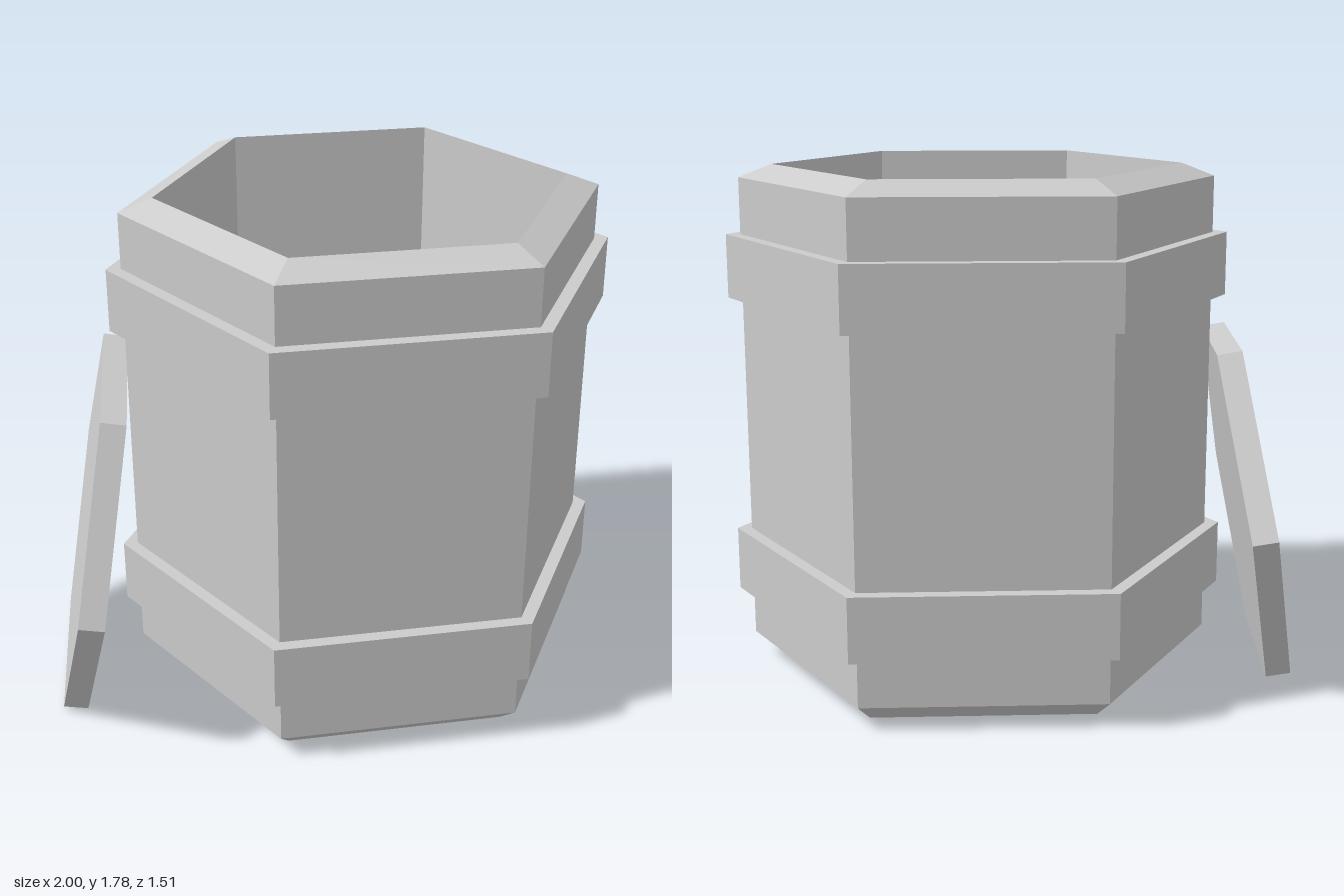
import * as THREE from 'three';

const material = new THREE.MeshStandardMaterial({ color: 0xcccccc, flatShading: true });

// Six-sided turned part with corners on the x axis; profile is [radius, y] pairs
function hexLathe(name, profile) {
  const points = profile.map(([r, y]) => new THREE.Vector2(r, y));
  const mesh = new THREE.Mesh(new THREE.LatheGeometry(points, 6, Math.PI / 2), material);
  mesh.name = name;
  return mesh;
}

export function createModel() {
  const model = new THREE.Group();
  model.name = 'openBarrel';

  const barrel = new THREE.Group();
  barrel.name = 'barrel';
  barrel.position.x = 0.125;
  model.add(barrel);

  // Hollow body: bevelled base, straight sides, sloped rim, inner wall and floor
  barrel.add(hexLathe('body', [
    [0, 0.03], [0.75, 0.03], [0.82, 0.09], [0.82, 1.74],
    [0.705, 1.785], [0.705, 0.1], [0, 0.1],
  ]));

  // Two hoops around the body
  for (const [name, y0, y1] of [['lowerHoop', 0.26, 0.485], ['upperHoop', 1.325, 1.545]]) {
    barrel.add(hexLathe(name, [[0.8, y0], [0.87, y0], [0.87, y1], [0.8, y1]]));
  }

  // Lid leaning against the barrel's side: outward normal and one corner direction set its pose
  const lid = new THREE.Mesh(new THREE.CylinderGeometry(0.668, 0.668, 0.086, 6), material);
  lid.name = 'lid';
  const normal = new THREE.Vector3(-0.983, 0.173, -0.069).normalize();
  const side = normal.clone().cross(new THREE.Vector3(-0.05, -0.02, 0.665)).normalize();
  const corner = side.clone().cross(normal);
  lid.quaternion.setFromRotationMatrix(new THREE.Matrix4().makeBasis(side, normal, corner));
  lid.position.set(-0.838, 0.594, 0.002);
  model.add(lid);

  return model;
}
